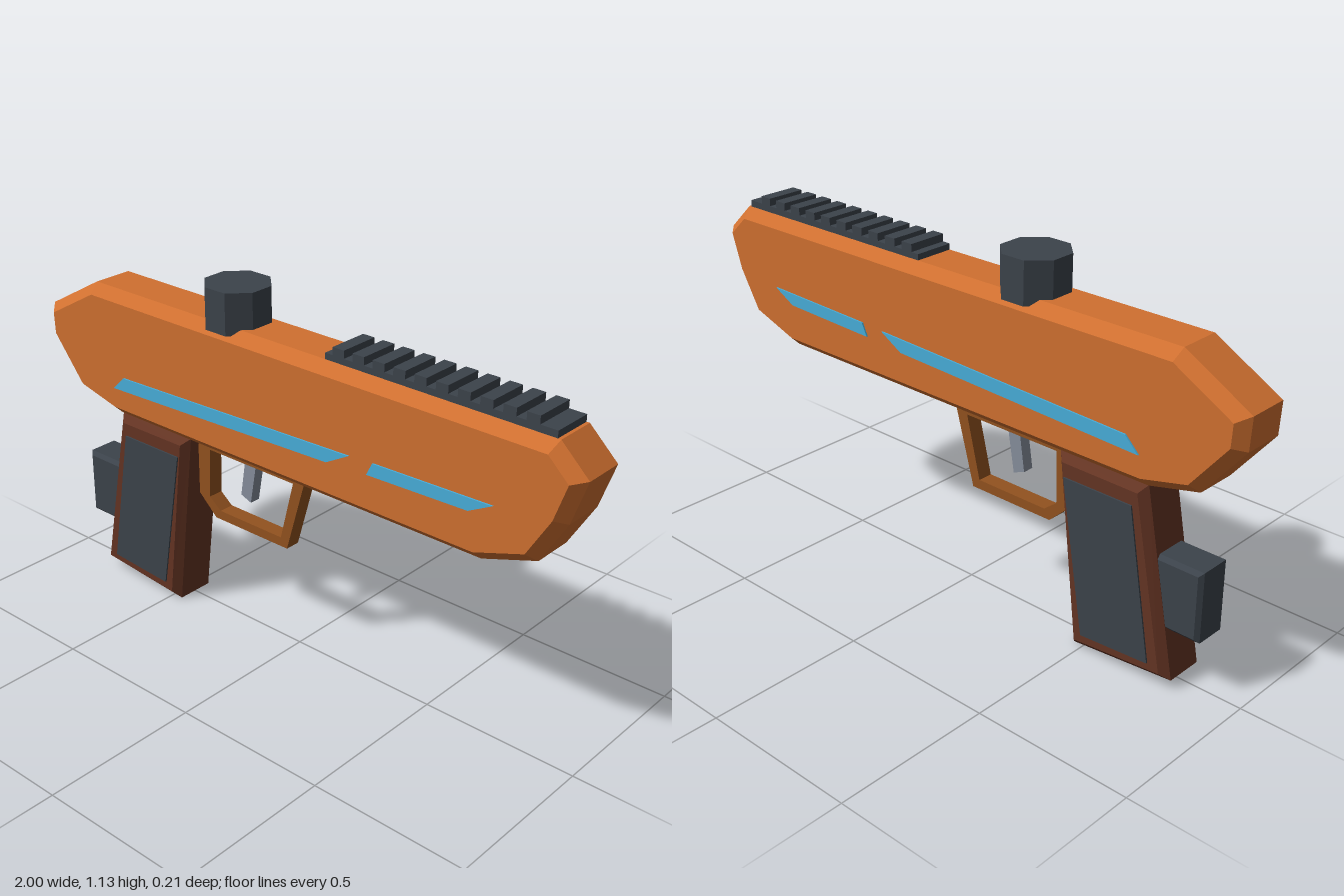
import * as THREE from 'three';

const mat = (name, color) => {
  const m = new THREE.MeshStandardMaterial({ color, flatShading: true });
  m.name = name;
  return m;
};

// Profile in x/y, extruded symmetrically to +-half, with an optional inward chamfer
function slab(points, half, chamfer = 0, depth = chamfer, hole = null) {
  const v = (list) => list.map(([x, y]) => new THREE.Vector2(x, y));
  const shape = new THREE.Shape(v(points));
  if (hole) shape.holes.push(new THREE.Path(v(hole)));
  const d = 2 * (half - depth);
  const geo = new THREE.ExtrudeGeometry(shape, {
    depth: d, bevelEnabled: chamfer > 0, bevelSegments: 1,
    bevelSize: chamfer, bevelOffset: -chamfer, bevelThickness: depth,
  });
  return geo.translate(0, 0, -d / 2);
}

export function createModel() {
  const model = new THREE.Group();
  const orange = mat('orange shell', 0xd07030);
  const brown = mat('brown grip', 0x643423);
  const bronze = mat('bronze guard', 0x92521f);
  const dark = mat('dark metal', 0x3c434b);
  const grey = mat('grey trigger', 0x868e9c);
  const blue = mat('blue stripe', 0x48aeda);

  const add = (name, geo, material, x = 0, y = 0, z = 0) => {
    const mesh = new THREE.Mesh(geo, material);
    mesh.name = name;
    mesh.position.set(x, y, z);
    model.add(mesh);
    return mesh;
  };

  // Chamfered main shell
  add('body', slab([
    [-1, 0.9], [-0.995, 0.8], [-0.865, 0.64], [-0.7, 0.6], [0.7, 0.6], [0.875, 0.66],
    [0.955, 0.795], [1, 0.93], [0.91, 1.015], [-0.785, 1.02],
  ], 0.1, 0.032, 0.035), orange);

  // Handle
  add('grip', slab([[-0.81, 0.03], [-0.465, 0], [-0.395, 0.6], [-0.7, 0.6]], 0.085, 0.024), brown);

  // Thin plates on both flanks
  const panel = [[-0.745, 0.07], [-0.51, 0.055], [-0.43, 0.535], [-0.665, 0.535]];
  const longStripe = [[-0.69, 0.7], [0.19, 0.73], [0.27, 0.775], [-0.645, 0.745]];
  const shortStripe = [[0.335, 0.74], [0.675, 0.75], [0.75, 0.79], [0.355, 0.78]];
  for (const side of [1, -1]) {
    add('gripPanel', slab(panel, 0.004), dark, 0, 0, side * 0.086);
    add('longStripe', slab(longStripe, 0.004), blue, 0, 0, side * 0.101);
    add('shortStripe', slab(shortStripe, 0.004), blue, 0, 0, side * 0.101);
  }

  // Block behind the handle
  add('rearBlock', slab([[-0.885, 0.18], [-0.68, 0.18], [-0.68, 0.4], [-0.885, 0.4]], 0.06, 0.012), dark);

  // Trigger and its guard
  add('triggerGuard', slab(
    [[-0.4, 0.6], [-0.4, 0.4], [-0.33, 0.335], [-0.03, 0.335], [0.045, 0.6]], 0.025, 0, 0,
    [[-0.35, 0.565], [-0.355, 0.4], [-0.31, 0.365], [-0.055, 0.365], [-0.005, 0.565]],
  ), bronze);
  add('trigger', slab([[-0.225, 0.45], [-0.185, 0.435], [-0.16, 0.58], [-0.205, 0.58]], 0.018), grey);

  // Octagonal sight
  add('sight', new THREE.CylinderGeometry(0.104, 0.104, 0.13, 8).rotateY(Math.PI / 8), dark, -0.24, 1.065, 0);

  // Top rail with ten ribs
  add('railBase', new THREE.BoxGeometry(0.75, 0.025, 0.13), dark, 0.525, 1.0235, 0);
  for (let i = 0; i < 10; i++) {
    add('railRib', new THREE.BoxGeometry(0.04, 0.03, 0.13), dark, 0.197 + i * 0.07, 1.045, 0);
  }
  return model;
}
